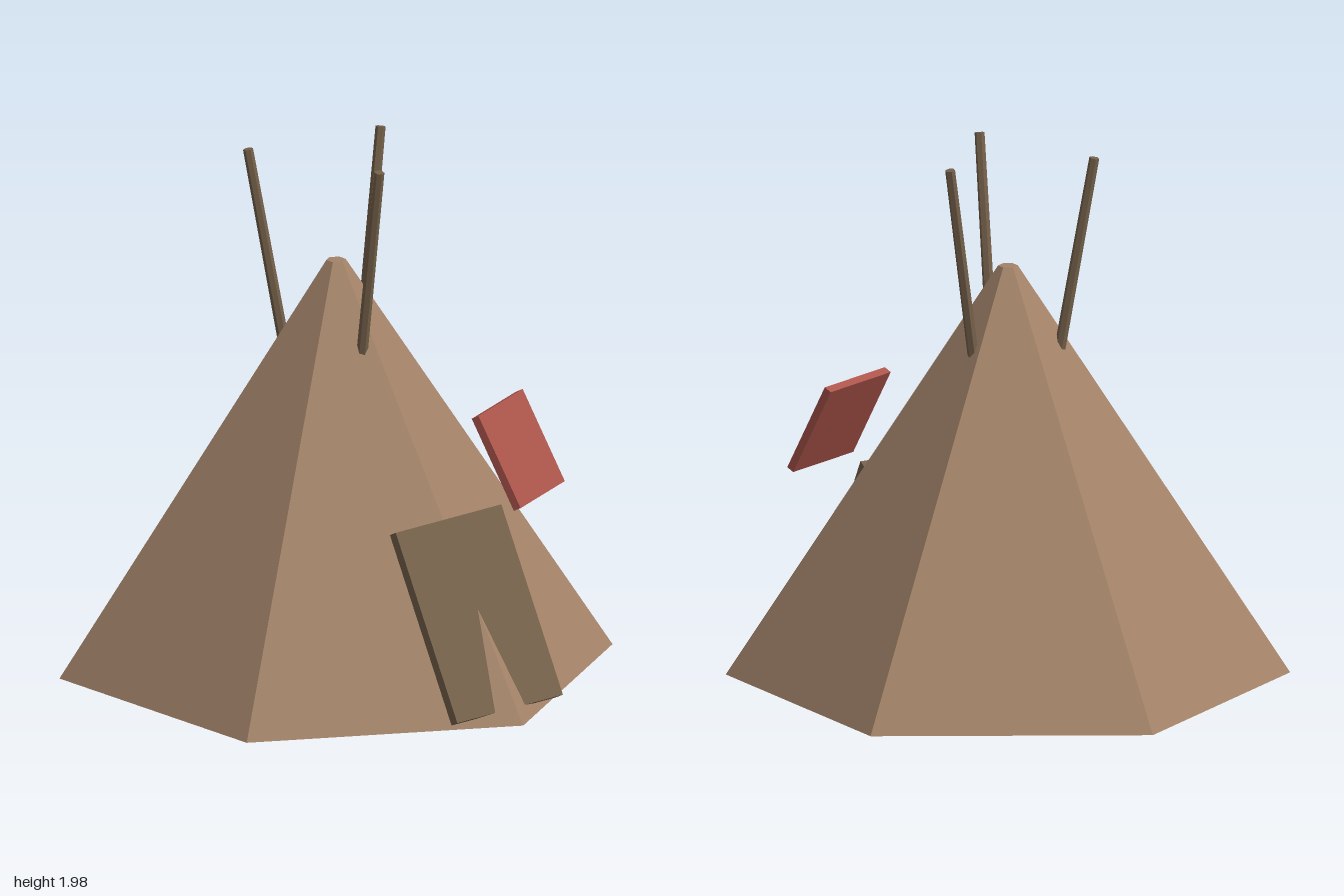
import * as THREE from 'three';

export function createModel() {
  const group = new THREE.Group();
  group.name = 'tent';
  const paint = (name, color) => {
    const m = new THREE.MeshStandardMaterial({ color, flatShading: true });
    m.name = name;
    return m;
  };
  const hide = paint('tan hide', 0xa38369);
  const wood = paint('dark brown', 0x74604a);
  const red = paint('faded red', 0xac544b);
  const deg = THREE.MathUtils.degToRad;

  const add = (name, geometry, material, x, y, z, tilt = 0, turn = 0) => {
    const mesh = new THREE.Mesh(geometry, material);
    mesh.name = name;
    mesh.position.set(x, y, z);
    mesh.rotation.set(deg(tilt), deg(turn), 0, 'YXZ');
    group.add(mesh);
  };

  // Six-sided cover, cut flat at the peak
  add('cover', new THREE.CylinderGeometry(0.035, 1, 1.495, 6), hide, 0, 0.8175, 0);

  // Three leaning poles that cross low inside the cover
  const poleGeometry = new THREE.CylinderGeometry(0.018, 0.024, 2, 6);
  for (let i = 0; i < 3; i++) {
    const turn = -12 + i * 120;
    const r = 0.138;
    add('pole', poleGeometry, wood, r * Math.sin(deg(turn)), 0.99, r * Math.cos(deg(turn)), 10, turn);
  }

  // Door flap lying against the front ridge
  add('doorFlap', new THREE.BoxGeometry(0.5, 0.71, 0.035), wood, 0, 0.422, 0.75, -27.6);

  // Red patch beside the door
  add('patch', new THREE.BoxGeometry(0.352, 0.36, 0.03), red, 0.355, 0.918, 0.573, -27.6, 22);

  return group;
}
